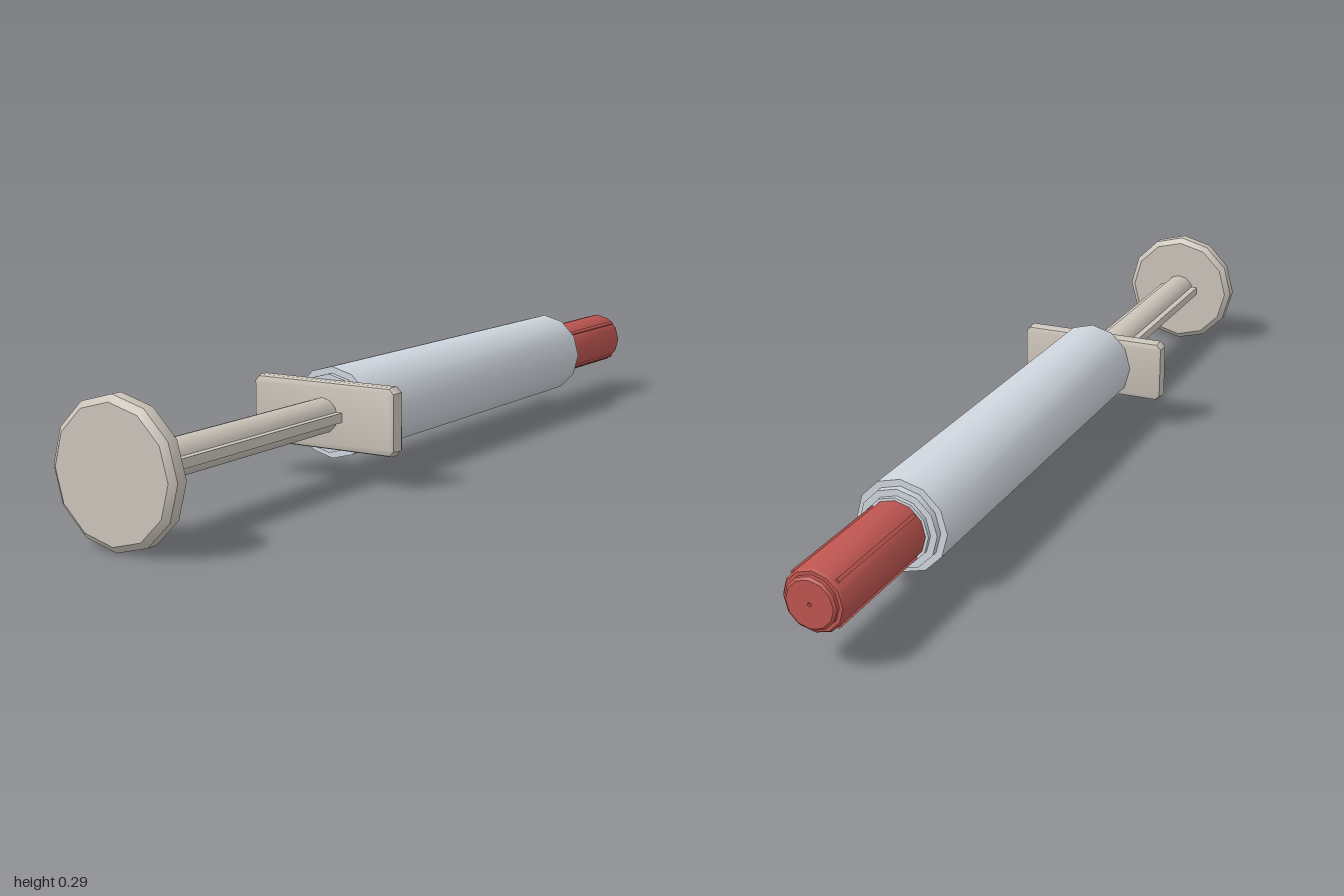
import * as THREE from 'three';
import { toCreasedNormals } from 'three/addons/utils/BufferGeometryUtils.js';

const AXIS = 0.144; // height of the long axis
const SIDES = 12;

const bone = new THREE.MeshStandardMaterial({ color: 0xcbc4ba });
const clear = new THREE.MeshStandardMaterial({ color: 0xcfd6de });
const red = new THREE.MeshStandardMaterial({ color: 0xbd5550 });

export function createModel() {
  const group = new THREE.Group();
  group.name = 'syringe';

  function add(name, geometry, material) {
    const mesh = new THREE.Mesh(geometry, material);
    mesh.name = name;
    mesh.position.y = AXIS;
    group.add(mesh);
    return mesh;
  }

  // Turned part along z from [radius, z] pairs, listed back to front
  function turned(name, profile, material) {
    const points = profile.map(([r, z]) => new THREE.Vector2(r, z));
    const geometry = new THREE.LatheGeometry(points, SIDES).rotateX(Math.PI / 2);
    return add(name, toCreasedNormals(geometry, 0.62), material);
  }

  // Barrel with a stepped collar at each end
  turned('barrel', [
    [0, -0.685], [0.07, -0.685], [0.07, -0.676], [0.084, -0.676], [0.084, -0.661],
    [0.098, -0.661], [0.098, 0.314], [0.084, 0.314], [0.084, 0.326], [0, 0.326],
  ], clear);

  // Thumb disc with bevelled rim
  turned('thumbDisc', [
    [0, 0.956], [0.13, 0.956], [0.143, 0.966], [0.143, 0.99], [0.13, 1], [0, 1],
  ], bone);

  // Plunger rod: round core with a narrow rib on both sides
  turned('plungerRod', [[0, 0.3], [0.038, 0.3], [0.038, 0.965], [0, 0.965]], bone);
  add('plungerRibs', new THREE.BoxGeometry(0.1, 0.02, 0.665).translate(0, 0, 0.6325), bone);

  // Finger flange: plate with cut corners and bevelled edges
  const w = 0.166, h = 0.062, c = 0.006;
  const plate = new THREE.Shape([
    [-w + c, -h], [w - c, -h], [w, -h + c], [w, h - c],
    [w - c, h], [-w + c, h], [-w, h - c], [-w, -h + c],
  ].map(([x, y]) => new THREE.Vector2(x, y)));
  const flange = new THREE.ExtrudeGeometry(plate, {
    depth: 0.018, bevelEnabled: true, bevelSize: 0.01, bevelThickness: 0.01, bevelSegments: 2,
  }).translate(0, 0, 0.323);
  add('fingerFlange', toCreasedNormals(flange, 0.6), bone);

  // Tip cap with stepped end and a small centre dimple
  turned('tipCap', [
    [0, -0.994], [0.004, -0.994], [0.004, -1], [0.048, -1], [0.053, -0.996], [0.053, -0.988],
    [0.06, -0.988], [0.064, -0.982], [0.064, -0.68], [0, -0.68],
  ], red);

  // Grip ribs along the cap
  for (let i = 0; i < 4; i++) {
    const rib = new THREE.BoxGeometry(0.008, 0.012, 0.285)
      .translate(0, 0.06, -0.835)
      .rotateZ(Math.PI / 4 + (i * Math.PI) / 2);
    add('capRib', rib, red);
  }

  return group;
}
